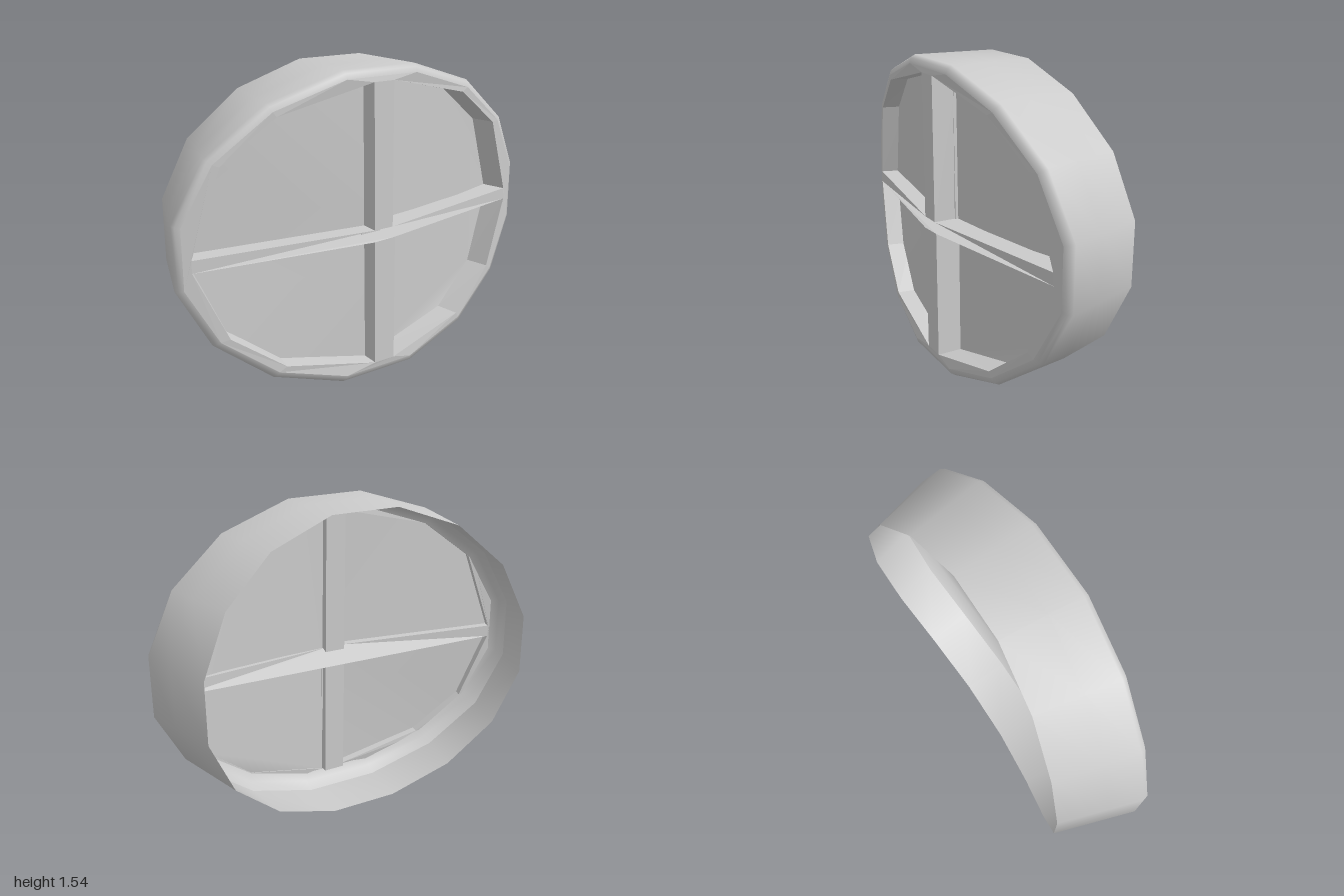
import * as THREE from 'three';

const R = 3.27, CZ = -2.99, CY = 0.77, SIDES = 16;
const A = 1.03, B = 0.783; // half width (along the arc) and half height

// wraps a flat point (arc x, y, depth behind the front) around a vertical axis
function bend(x, y, depth) {
  const a = x / R, r = R - depth;
  return [r * Math.sin(a), y, CZ + r * Math.cos(a)];
}

function bendGeometry(geo, front) {
  const p = geo.attributes.position;
  for (let i = 0; i < p.count; i++) p.setXYZ(i, ...bend(p.getX(i), p.getY(i), front - p.getZ(i)));
  geo.computeVertexNormals();
  return geo;
}

// corner of the oval, pulled inwards by inset
function corner(i, inset) {
  const t = (i + 0.5) / SIDES * Math.PI * 2;
  return new THREE.Vector2((A - inset) * Math.cos(t), CY + (B - inset) * Math.sin(t));
}

// opening corners measured on the curved front
const arc = ([x, y]) => new THREE.Vector2(R * Math.asin(x / R), y);
const openings = [
  [[0.065, 0.77], [0.91, 0.79], [0.77, 1.18], [0.51, 1.37], [0.06, 1.475]],
  [[-0.04, 0.77], [-0.05, 1.475], [-0.53, 1.365], [-0.785, 1.17], [-0.92, 0.765]],
  [[-0.04, 0.71], [-0.92, 0.705], [-0.77, 0.365], [-0.51, 0.175], [-0.03, 0.07]],
  [[0.08, 0.715], [0.085, 0.07], [0.53, 0.18], [0.78, 0.38], [0.915, 0.73]],
].map(list => list.map(arc));

// smooth outer shell: sweep an (inset, depth) profile around the oval
function shellGeometry(profile) {
  const pos = [], index = [], n = profile.length;
  for (let i = 0; i < SIDES; i++) {
    for (const [inset, depth] of profile) {
      const c = corner(i, inset);
      pos.push(...bend(c.x, c.y, depth));
    }
  }
  for (let i = 0; i < SIDES; i++) {
    for (let j = 0; j < n - 1; j++) {
      const a = i * n + j, b = ((i + 1) % SIDES) * n + j;
      index.push(a, a + 1, b, b, a + 1, b + 1);
    }
  }
  const geo = new THREE.BufferGeometry();
  geo.setAttribute('position', new THREE.Float32BufferAttribute(pos, 3));
  geo.setIndex(index);
  geo.computeVertexNormals();
  return geo;
}

export function createModel() {
  const group = new THREE.Group();
  const material = new THREE.MeshStandardMaterial({ color: 0xcccccc, side: THREE.DoubleSide });
  const add = (name, geo) => {
    const mesh = new THREE.Mesh(geo, material);
    mesh.name = name;
    group.add(mesh);
  };

  // deep outer wall with a rounded front edge
  add('outerFrame', shellGeometry([[0.04, 0], [0.015, 0.008], [0, 0.03], [0, 0.2], [0, 0.44]]));

  // sloped inner side of the frame behind the lip
  add('innerSlope', shellGeometry([[0.07, 0.13], [0.03, 0.15], [0.002, 0.2]]));

  // front lip and crossbars in one plate with four openings
  const face = new THREE.Shape(Array.from({ length: SIDES }, (_, i) => corner(i, 0.04)));
  face.holes = openings.map(list => new THREE.Path(list));
  const plate = new THREE.ExtrudeGeometry(face, { depth: 0.13, bevelEnabled: false });
  add('lipAndCrossbars', bendGeometry(plate, 0.13));

  // panes: two set between the bars on one side, one behind the bar on the other
  const pane = (name, points, depth) =>
    add(name, bendGeometry(new THREE.ShapeGeometry(new THREE.Shape(points)), depth));
  pane('upperRightPane', openings[1], 0.09);
  pane('lowerRightPane', openings[2], 0.09);
  const [up, down] = [openings[0], openings[3]];
  pane('leftPane', [down[1], down[2], down[3], down[4], ...up.slice(1)], 0.125);

  // rear ridge of the upright bar
  const ridge = new THREE.Shape([[-0.03, 0.07], [0.085, 0.07], [0.06, 1.475], [-0.05, 1.475]].map(arc));
  add('uprightBarBack', bendGeometry(
    new THREE.ExtrudeGeometry(ridge, { depth: 0.05, bevelEnabled: false }), 0.16));

  // rest on the ground and centre the depth
  const box = new THREE.Box3().setFromObject(group);
  const centre = box.getCenter(new THREE.Vector3());
  group.children.forEach(m => m.geometry.translate(-centre.x, -box.min.y, -centre.z));
  return group;
}
